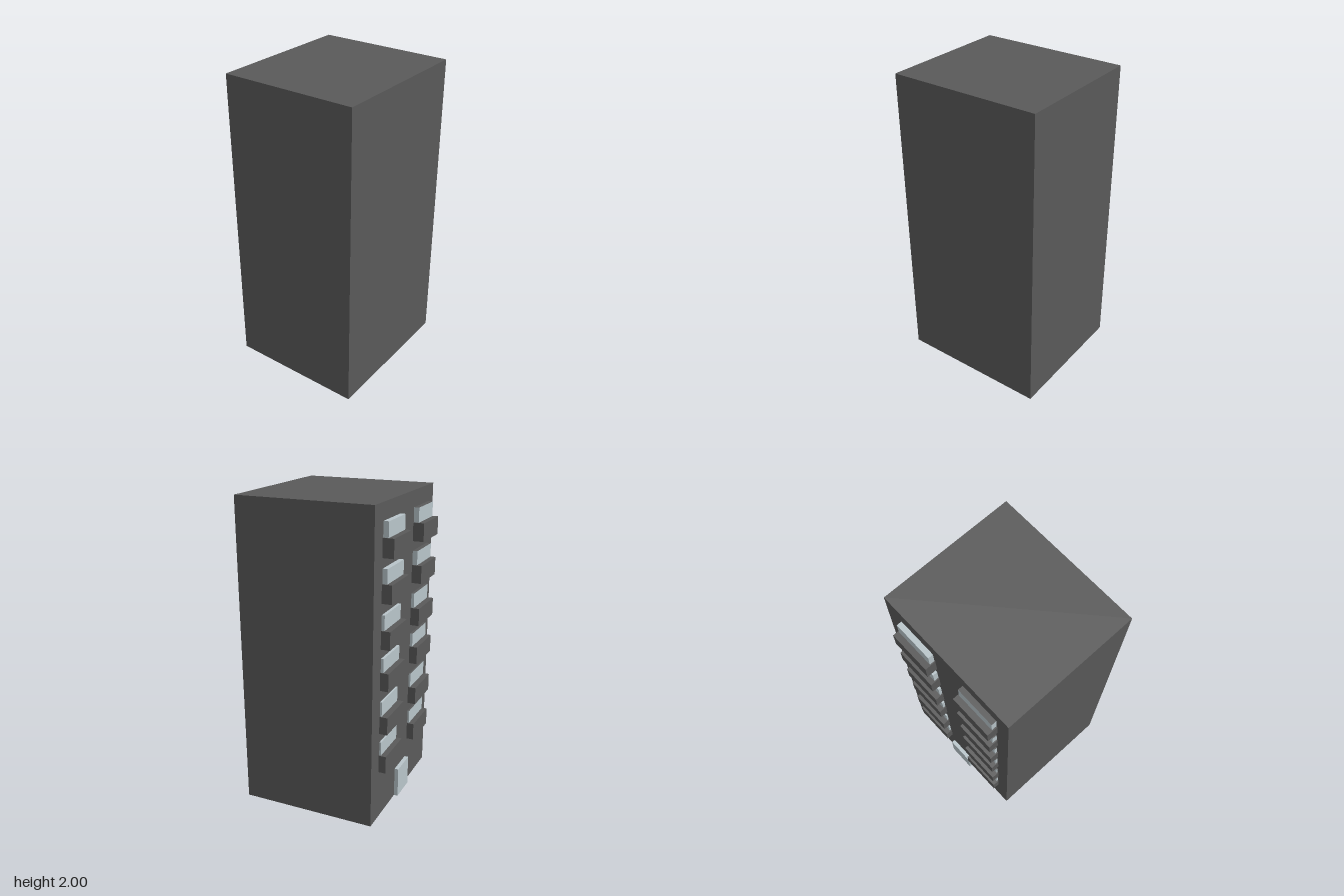
import * as THREE from 'three';

export function createModel() {
  const model = new THREE.Group();
  const concrete = new THREE.MeshStandardMaterial({ name: 'dark concrete', color: 0x5a5a5a });
  const glass = new THREE.MeshStandardMaterial({ name: 'pale glass', color: 0xb9c5ca });

  const WALL = -0.408; // z of the facade that carries the balconies

  // Box given by its minimum and maximum on each axis
  function box(name, material, [x0, x1], [y0, y1], [z0, z1]) {
    const mesh = new THREE.Mesh(new THREE.BoxGeometry(x1 - x0, y1 - y0, z1 - z0), material);
    mesh.position.set((x0 + x1) / 2, (y0 + y1) / 2, (z0 + z1) / 2);
    mesh.name = name;
    return mesh;
  }

  // Tower block and entrance
  model.add(box('tower', concrete, [-0.49, 0.49], [0, 2], [WALL, 0.478]));
  model.add(box('entranceDoor', glass, [-0.105, 0.085], [0, 0.2], [-0.434, WALL]));

  // Each floor: balcony bottom, window top, balcony front, window front
  const floors = [
    [0.325, 0.53, -0.455, -0.42],
    [0.59, 0.8, -0.46, -0.42],
    [0.877, 1.08, -0.461, -0.425],
    [1.14, 1.35, -0.466, -0.427],
    [1.42, 1.625, -0.471, -0.439],
    [1.687, 1.895, -0.478, -0.441],
  ];
  // Window columns; the right one has a concrete lintel face on top
  const columns = [
    { side: 'right', x: -0.267, skin: [glass, glass, concrete, glass, glass, glass] },
    { side: 'left', x: 0.234, skin: glass },
  ];

  for (const { side, x, skin } of columns) {
    floors.forEach(([bottom, top, balconyZ, windowZ], i) => {
      const unit = new THREE.Group();
      unit.name = `${side}Flat${i + 1}`;
      unit.add(box('balcony', concrete, [x - 0.138, x + 0.138], [bottom, bottom + 0.115], [balconyZ, WALL]));
      unit.add(box('window', skin, [x - 0.131, x + 0.131], [bottom + 0.05, top], [windowZ, WALL]));
      model.add(unit);
    });
  }
  return model;
}
